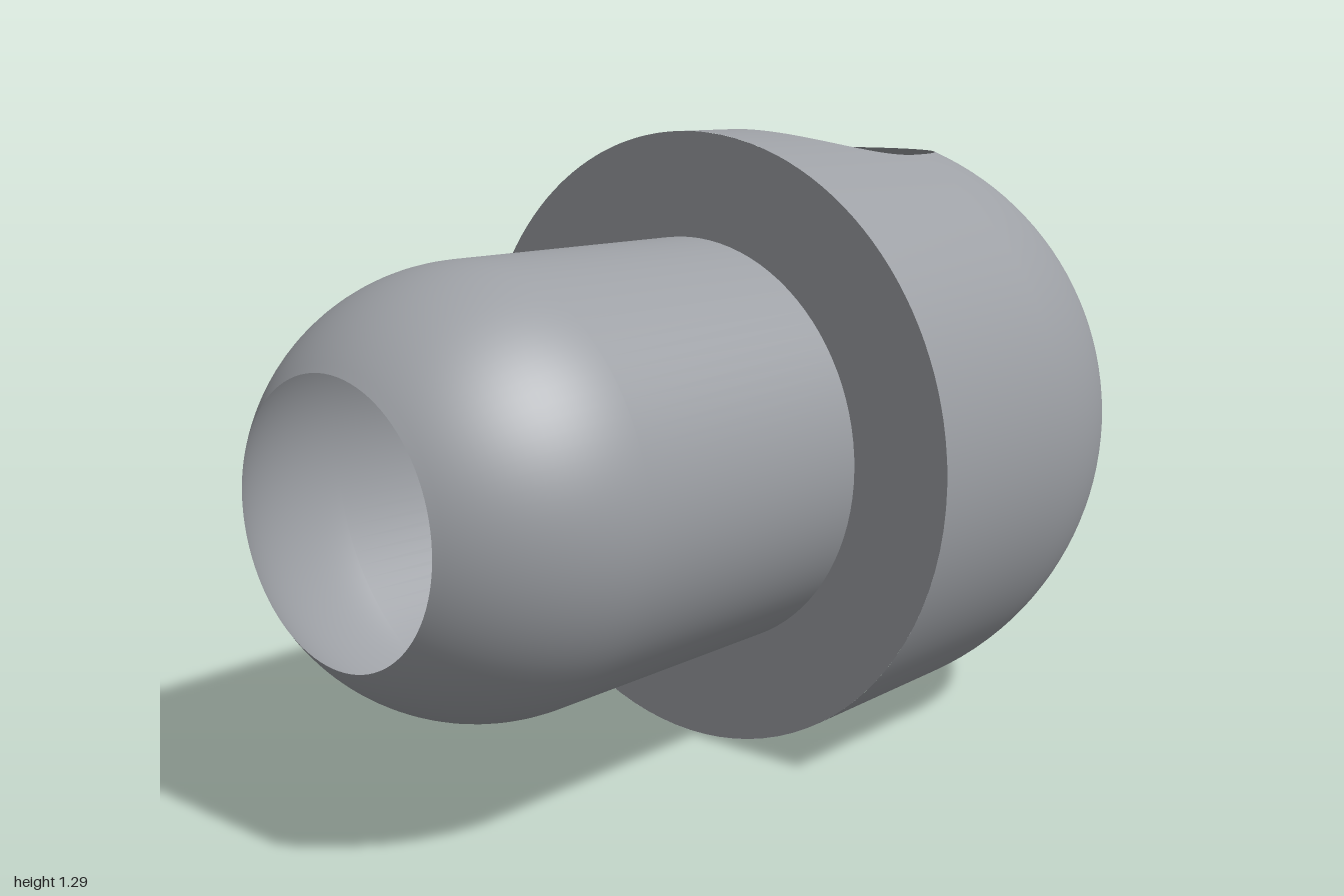
import * as THREE from 'three';

const R = 0.645;          // head radius
const STEM = 0.43;        // stem radius
const HOLE = 0.26;        // cross hole radius
const CX = 1 - R;         // centre of the dome and of the cross hole
const SHOULDER = -0.075;  // where head and stem meet
const STEM_ARC = -0.66;   // centre of the stem's rounded end
const HOLE_ANGLE = Math.asin(HOLE / R);

// Upper half of the head's sleeve, notched by half of the cross hole
function sleeveHalf() {
  const geo = new THREE.PlaneGeometry(1, 1, 12, 96);
  const pos = geo.attributes.position;
  const normal = geo.attributes.normal;
  for (let i = 0; i < pos.count; i++) {
    const u = pos.getX(i) + 0.5;
    const s = pos.getY(i) * 4;
    let a, end = CX;
    if (Math.abs(s) <= 1.0001) {
      const t = THREE.MathUtils.clamp(s, -1, 1) * Math.PI / 2;
      a = Math.asin(HOLE / R * Math.sin(t));
      end = CX - HOLE * Math.cos(t);
    } else {
      a = Math.sign(s) * (HOLE_ANGLE + (Math.abs(s) - 1) * (Math.PI / 2 - HOLE_ANGLE));
    }
    const ny = Math.cos(a), nz = -Math.sin(a);
    pos.setXYZ(i, THREE.MathUtils.lerp(SHOULDER, end, u), R * ny, R * nz);
    normal.setXYZ(i, 0, ny, nz);
  }
  return geo;
}

export function createModel() {
  const group = new THREE.Group();
  const grey = new THREE.MeshStandardMaterial({ color: 0x9da0a5, side: THREE.DoubleSide });
  grey.name = 'grey';

  const add = (name, geometry) => {
    const mesh = new THREE.Mesh(geometry, grey);
    mesh.name = name;
    mesh.position.y = R;
    group.add(mesh);
    return mesh;
  };

  // Half-sphere dome, open at top and bottom for the cross hole
  add('dome', new THREE.SphereGeometry(R, 64, 48, Math.PI / 2, Math.PI,
    HOLE_ANGLE, Math.PI - 2 * HOLE_ANGLE)).position.x = CX;

  // Cylindrical sleeve of the head
  add('upperSleeve', sleeveHalf());
  add('lowerSleeve', sleeveHalf().rotateX(Math.PI));

  // Flat shoulder between head and stem
  add('shoulder', new THREE.RingGeometry(STEM, R, 96, 1).rotateY(-Math.PI / 2))
    .position.x = SHOULDER;

  // Hollow stem with a rounded, open end
  const profile = [];
  const open = Math.acos((1 + STEM_ARC) / STEM);
  for (let i = 0; i <= 20; i++) {
    const a = THREE.MathUtils.lerp(open, Math.PI / 2, i / 20);
    profile.push(new THREE.Vector2(STEM * Math.sin(a), STEM_ARC - STEM * Math.cos(a)));
  }
  profile.push(new THREE.Vector2(STEM, SHOULDER));
  add('stem', new THREE.LatheGeometry(profile, 96).rotateZ(-Math.PI / 2));

  return group;
}
